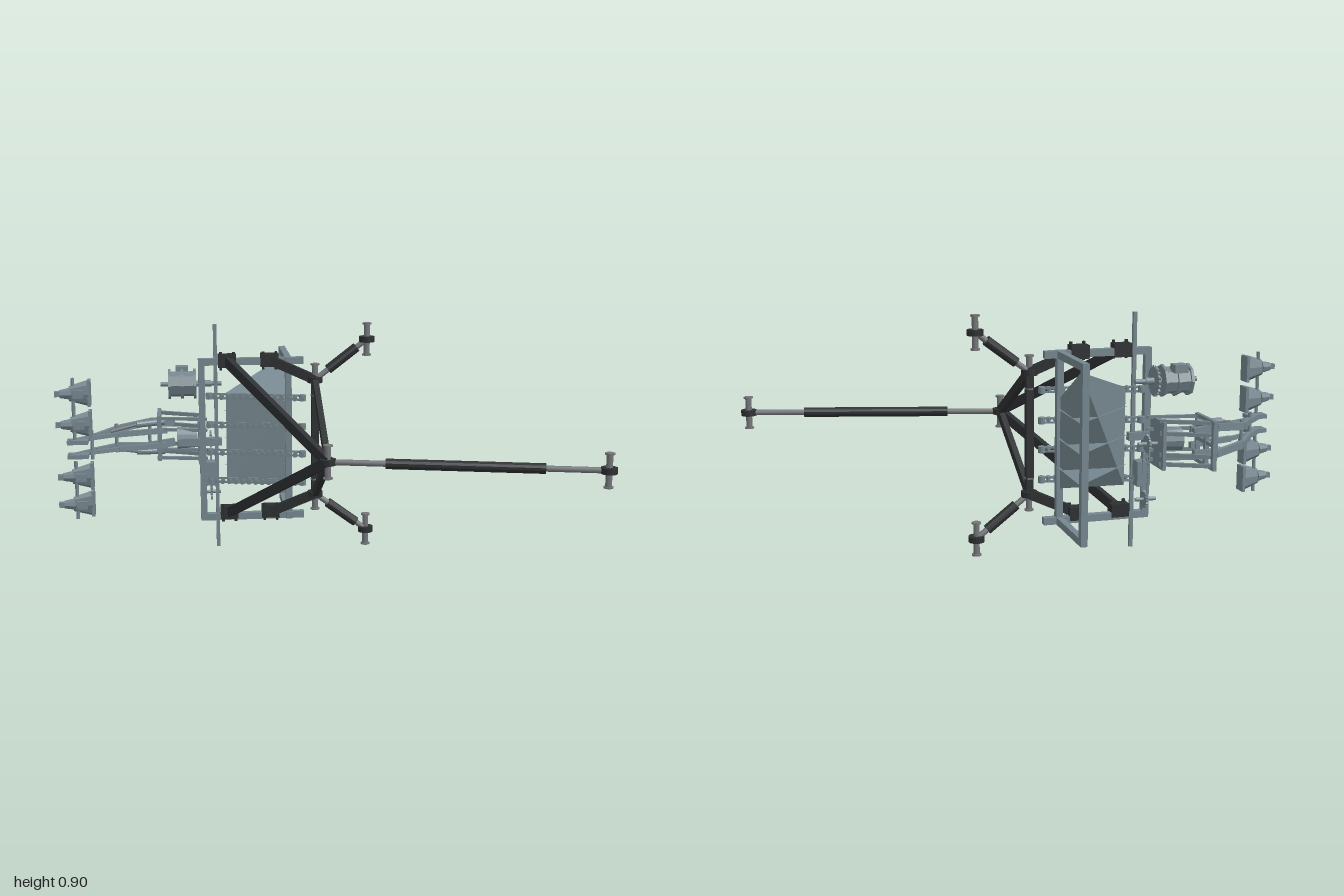
import * as THREE from 'three';

const V = (p) => new THREE.Vector3(...p);
const lightMat = new THREE.MeshStandardMaterial({ color: 0x75868e, flatShading: true });
const sheetMat = new THREE.MeshStandardMaterial({ color: 0x75868e, flatShading: true, side: THREE.DoubleSide });
const darkMat = new THREE.MeshStandardMaterial({ color: 0x2c2f31, flatShading: true });
const steelMat = new THREE.MeshStandardMaterial({ color: 0x737679 });

export function createModel() {
  const root = new THREE.Group();
  root.name = 'mountedPlanter';
  let target = root;

  const group = (name) => {
    target = new THREE.Group();
    target.name = name;
    root.add(target);
    return target;
  };
  const add = (name, geo, mat, pos = [0, 0, 0]) => {
    const m = new THREE.Mesh(geo, mat);
    m.name = name;
    m.position.set(...pos);
    target.add(m);
    return m;
  };
  const box = (name, size, pos, mat = lightMat) => add(name, new THREE.BoxGeometry(...size), mat, pos);
  // Square beam between two points
  const beam = (name, a, b, w, h = w, mat = lightMat) => {
    const A = V(a), B = V(b);
    const m = add(name, new THREE.BoxGeometry(w, h, A.distanceTo(B)), mat);
    m.position.copy(A).lerp(B, 0.5);
    m.lookAt(B);
    return m;
  };
  // Round bar between two points, optionally tapered
  const rod = (name, a, b, r, mat = steelMat, r2 = r, sides = 12) => {
    const A = V(a), B = V(b);
    const m = add(name, new THREE.CylinderGeometry(r2, r, A.distanceTo(B), sides), mat);
    m.position.copy(A).lerp(B, 0.5);
    m.quaternion.setFromUnitVectors(V([0, 1, 0]), B.sub(A).normalize());
    return m;
  };
  const sheet = (name, ...pts) => {
    const g = new THREE.BufferGeometry();
    g.setAttribute('position', new THREE.Float32BufferAttribute(pts.flat(), 3));
    g.setIndex(pts.length === 3 ? [0, 1, 2] : [0, 1, 2, 0, 2, 3]);
    g.computeVertexNormals();
    return add(name, g, sheetMat);
  };
  // Upright pivot pin with end caps and a dark hub
  const pivot = ([x, y, z]) => {
    rod('pivotPin', [x, y - 0.062, z], [x, y + 0.062, z], 0.012);
    for (const s of [-1, 1]) rod('pinCap', [x, y + s * 0.058, z], [x, y + s * 0.064, z], 0.018);
    rod('pivotHub', [x, y - 0.011, z], [x, y + 0.011, z], 0.03, darkMat, 0.03, 20);
  };
  // Hitch link: thin rod with a thick sleeve in the middle
  const link = (name, a, b, t0, t1) => {
    const A = V(a), B = V(b);
    rod(name + 'Rod', a, b, 0.011);
    rod(name + 'Sleeve', A.clone().lerp(B, t0).toArray(), A.clone().lerp(B, t1).toArray(), 0.019, darkMat);
    pivot(b);
  };

  // Three-point hitch
  group('hitch');
  const apex = [0, 0.45, 0.25];
  pivot(apex);
  link('topLink', apex, [0.97, 0.45, 0.49], 0.21, 0.78);
  beam('hitchPost', [0, 0.22, -0.17], [0, 0.68, -0.17], 0.028, 0.028, darkMat);
  for (const s of [-1, 1]) {
    const y = (d) => 0.45 + s * d;
    const knee = [0, y(0.23), -0.17];
    pivot(knee);
    link('lowerLink', knee, [0.205, y(0.385), -0.18], 0.25, 0.8);
    beam('innerStrut', apex, knee, 0.022, 0.034, darkMat);
    beam('outerStrut', apex, [-0.34, y(0.305), -0.2], 0.026, 0.036, darkMat);
    beam('cornerBrace', knee, [-0.17, y(0.305), -0.2], 0.03, 0.035, darkMat);
    for (const x of [-0.34, -0.175]) {
      box('clamp', [0.07, 0.05, 0.045], [x, y(0.305), -0.212], darkMat);
      for (const dx of [-0.025, 0.025])
        rod('clampBolt', [x + dx, y(0.27), -0.195], [x + dx, y(0.34), -0.195], 0.006, darkMat, 0.006, 6);
    }
  }

  // Main frame: front rectangle and side loop
  group('frame');
  for (const y of [0.125, 0.75]) {
    box('crossRail', [0.41, 0.027, 0.027], [-0.245, y, -0.22]);
    box('sideRail', [0.025, 0.027, 0.32], [-0.1, y, -0.36]);
  }
  box('outerPost', [0.025, 0.65, 0.027], [-0.44, 0.4375, -0.22]);
  box('innerPost', [0.025, 0.65, 0.027], [-0.1, 0.4375, -0.22]);
  box('rearPost', [0.025, 0.652, 0.027], [-0.1, 0.4375, -0.508]);
  box('markerBar', [0.014, 0.895, 0.014], [-0.385, 0.4475, -0.226]);

  // Hopper: sloped skins with flat dividers
  group('hopper');
  const tip = [-0.09, 0.73, -0.495];
  const fu = [-0.1, 0.585, -0.22], fl = [-0.1, 0.25, -0.235];
  const bu = [-0.345, 0.62, -0.25], bl = [-0.345, 0.25, -0.25];
  sheet('hopperTop', tip, bu, fu);
  sheet('hopperFront', fu, bu, bl, fl);
  sheet('hopperSide', tip, fu, fl);
  sheet('hopperSlope', tip, bl, bu);
  sheet('hopperBottom', tip, fl, bl);
  for (const y of [0.33, 0.44, 0.55])
    sheet('divider', [-0.09, y, -0.5], [-0.355, y, -0.25], [-0.09, y, -0.225]);

  // Cup conveyors running across the hopper face
  group('conveyors');
  for (const y of [0.27, 0.385, 0.495, 0.61]) {
    const a = V([-0.41, y, -0.245]), b = V([-0.05, y, -0.165]);
    for (const d of [-0.008, 0.008])
      beam('conveyorChain', [a.x, y + d, a.z], [b.x, y + d, b.z], 0.004, 0.008);
    for (let i = 0; i <= 14; i++) {
      const p = a.clone().lerp(b, i / 14);
      rod('cup', [p.x, y, p.z], [p.x - 0.006, y, p.z + 0.024], 0.006, lightMat, 0.011, 8);
      box('chainLink', [0.008, 0.022, 0.012], p.toArray());
    }
    for (const p of [a, b]) rod('conveyorRoller', [p.x, y - 0.012, p.z], [p.x, y + 0.012, p.z], 0.014, lightMat);
  }

  // Chain drive: toothed wheels on cross shafts
  group('drive');
  const sprocket = (x, y, z, r, n) => {
    const s = new THREE.Shape();
    for (let i = 0; i < n * 4; i++) {
      const t = (i / (n * 4)) * Math.PI * 2, q = i % 4 < 2 ? r : r * 0.88;
      s[i ? 'lineTo' : 'moveTo'](q * Math.cos(t), q * Math.sin(t));
    }
    const hole = new THREE.Path();
    hole.absarc(0, 0, r * 0.2, 0, Math.PI * 2, true);
    s.holes.push(hole);
    const g = new THREE.ExtrudeGeometry(s, { depth: 0.008, bevelEnabled: false, curveSegments: 6 });
    add('sprocket', g, lightMat, [x, y, z]).rotation.y = Math.PI / 2;
    rod('driveShaft', [x - 0.04, y, z], [x + 0.04, y, z], r * 0.22, lightMat);
  };
  sprocket(-0.41, 0.205, -0.305, 0.033, 16);
  sprocket(-0.41, 0.42, -0.325, 0.035, 16);
  sprocket(-0.44, 0.65, -0.305, 0.058, 20);
  for (const dz of [-0.028, 0.028])
    for (let i = 0; i < 18; i++)
      box('driveLink', [0.006, 0.01, 0.005 + (i % 2) * 0.003], [-0.406, 0.21 + i * 0.0124, -0.305 + dz - i * 0.001]);
  rod('drumBody', [-0.57, 0.65, -0.305], [-0.46, 0.65, -0.305], 0.05, lightMat, 0.05, 8);
  for (const x of [-0.565, -0.515, -0.465])
    rod('drumRib', [x - 0.005, 0.65, -0.305], [x + 0.005, 0.65, -0.305], 0.06, lightMat, 0.06, 8);
  box('drumSpout', [0.05, 0.03, 0.05], [-0.515, 0.7, -0.345]);
  rod('drumAxle', [-0.6, 0.65, -0.305], [-0.36, 0.65, -0.305], 0.009, lightMat);
  box('gearCase', [0.05, 0.095, 0.05], [-0.41, 0.295, -0.26]);

  // Carrier frame behind the arms
  group('armCarrier');
  box('carrierPlate', [0.012, 0.18, 0.13], [-0.45, 0.42, -0.32]);
  for (const y of [0.35, 0.385, 0.465, 0.51]) {
    beam('carrierRail', [-0.61, y, -0.44], [-0.44, y, -0.36], 0.014, 0.014);
    beam('carrierStay', [-0.62, y, -0.31], [-0.42, y, -0.28], 0.012, 0.012);
  }
  for (const z of [-0.46, -0.39, -0.31]) box('carrierPost', [0.016, 0.18, 0.018], [-0.61, 0.43, z]);
  for (const y of [0.345, 0.43, 0.515]) box('carrierBar', [0.014, 0.014, 0.17], [-0.61, y, -0.385]);
  box('mountBar', [0.17, 0.03, 0.028], [-0.45, 0.43, -0.228]);
  rod('gearHousing', [-0.54, 0.43, -0.31], [-0.46, 0.43, -0.31], 0.045, lightMat, 0.04);

  // Gooseneck arms with helper rods
  group('arms');
  for (const s of [-1, 1]) {
    const y = (d) => 0.432 + s * d;
    const path = [[-0.55, y(0.04), -0.41], [-0.65, y(0.05), -0.39], [-0.78, y(0.035), -0.335],
      [-0.86, y(0.028), -0.23], [-0.95, y(0.028), -0.14]];
    for (let i = 0; i < 4; i++) beam('armSection', path[i], path[i + 1], 0.016, 0.032 - i * 0.004);
    beam('lowerArm', [-0.58, y(0.03), -0.31], [-0.77, y(0.03), -0.255], 0.014, 0.022);
    beam('lowerArmEnd', [-0.77, y(0.03), -0.255], [-0.88, y(0.028), -0.2], 0.012, 0.016);
    rod('armCylinder', [-0.59, y(0.06), -0.34], [-0.7, y(0.055), -0.315], 0.013, lightMat);
    rod('armPiston', [-0.7, y(0.055), -0.315], [-0.8, y(0.035), -0.29], 0.006);
    box('armTip', [0.08, 0.016, 0.05], [-0.92, y(0.028), -0.15]);
  }
  for (const [x, z] of [[-0.65, -0.39], [-0.78, -0.325], [-0.87, -0.21]])
    rod('armPin', [x, 0.375, z], [x, 0.49, z], 0.007, lightMat, 0.007, 8);

  // Four soil-working row units
  group('rowUnits');
  for (const y of [0.215, 0.325, 0.53, 0.65]) {
    const cone = rod('share', [-0.875, y, -0.15], [-0.945, y, -0.14], 0.052, lightMat, 0.03, 8);
    cone.scale.z = 0.5;
    rod('shareNose', [-0.94, y, -0.14], [-0.98, y, -0.135], 0.024, lightMat, 0.016, 8);
    box('shareTip', [0.025, 0.02, 0.02], [-0.987, y, -0.135]);
    box('sharePlate', [0.012, 0.1, 0.055], [-0.87, y, -0.155]);
    box('shareBracket', [0.04, 0.03, 0.03], [-0.91, y, -0.125]);
    rod('shareShaft', [-0.93, y - 0.06, -0.14], [-0.93, y + 0.06, -0.14], 0.007, lightMat, 0.007, 8);
  }
  return root;
}
